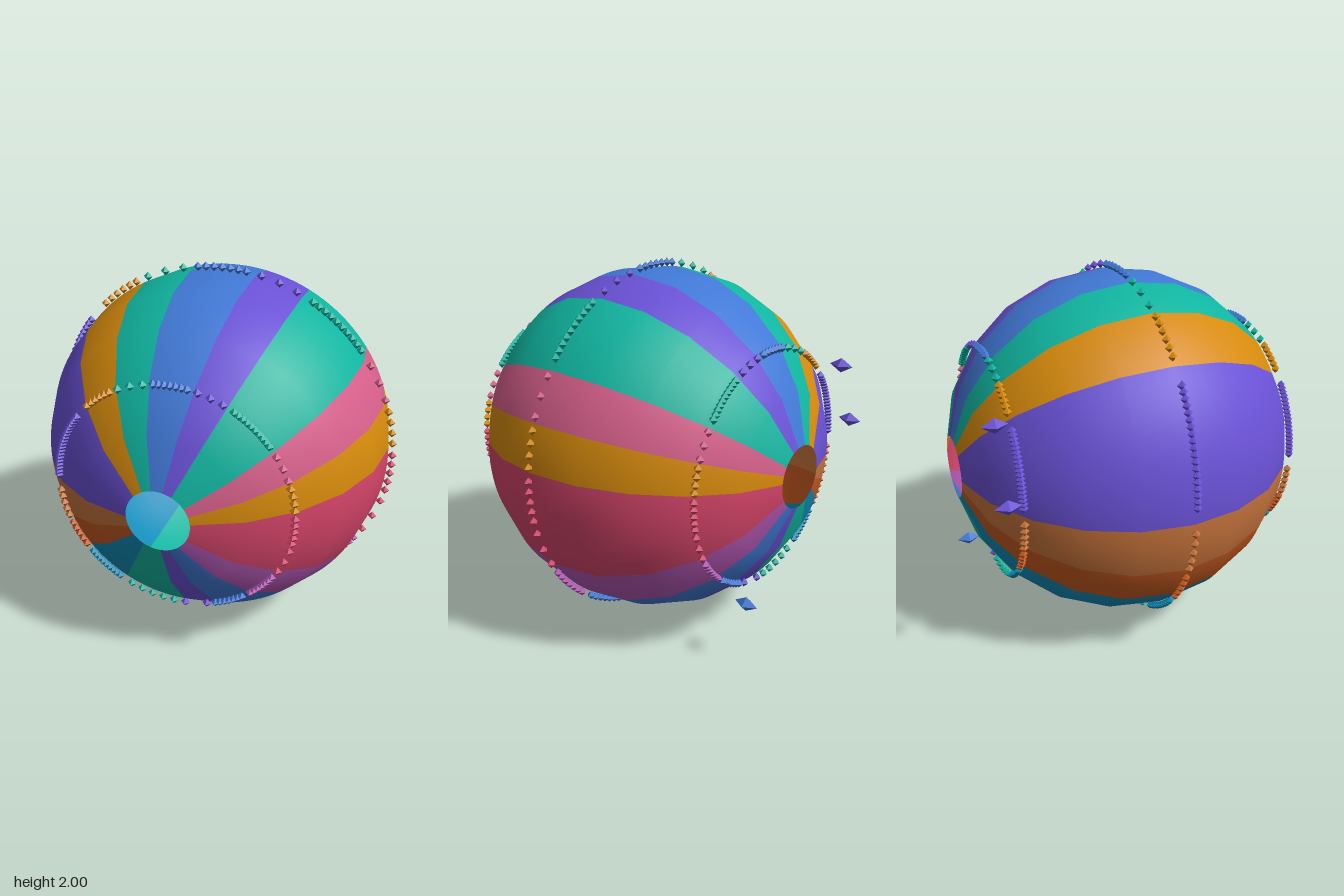
import * as THREE from 'three';

const RADIUS = 0.953, BEAD_RADIUS = 0.974;
const rad = THREE.MathUtils.degToRad;

function makeMaterials() {
  const colors = {
    purple: 0x6a51d6, gold: 0xd68a0c, teal: 0x10b5a0, blue: 0x4179d6, pink: 0xd65f8a,
    red: 0xd6456a, magenta: 0xb357b3, cyan: 0x0d8cb8, orange: 0xc75a20, copper: 0xc8743c,
  };
  const materials = {};
  for (const [name, color] of Object.entries(colors)) {
    materials[name] = new THREE.MeshStandardMaterial({ color, side: THREE.DoubleSide });
    materials[name].name = name;
  }
  return materials;
}

// Panels around the z axis: colour, start angle, end angle, beads per ring
const PANELS = [
  ['red', -13.5, 4.2, 5], ['gold', 4.2, 19, 4], ['pink', 19, 35.2, 3], ['teal', 35.2, 63, 10],
  ['purple', 63, 79, 3], ['blue', 79, 100, 7], ['teal', 100, 117, 3], ['gold', 117, 136, 6],
  ['purple', 136, 183.2, 19], ['copper', 183.2, 202, 5], ['orange', 202, 218.8, 5],
  ['cyan', 218.8, 242.7, 9], ['teal', 242.7, 273.2, 5], ['purple', 273.2, 288.4, 2],
  ['blue', 288.4, 308.5, 7], ['magenta', 308.5, 328.9, 7], ['red', 328.9, 346.5, 3],
];

// Large beads on the back: colour, angle
const MARKERS = [['purple', 140.5], ['purple', 172], ['blue', 294.4]];

// Point at a given angle around z and latitude towards +z
function onSphere(radius, angle, latitude) {
  const a = rad(angle), l = rad(latitude);
  return new THREE.Vector3(
    radius * Math.cos(l) * Math.cos(a), radius * Math.cos(l) * Math.sin(a), radius * Math.sin(l));
}

export function createModel() {
  const model = new THREE.Group();
  model.name = 'panelBall';
  const ball = new THREE.Group();
  ball.position.y = 1;
  model.add(ball);
  const materials = makeMaterials();

  // Meridian in ten straight steps, open at both poles
  const profile = [];
  for (let i = 0; i <= 10; i++) {
    const l = rad(-80 + 16 * i);
    profile.push(new THREE.Vector2(RADIUS * Math.cos(l), RADIUS * Math.sin(l)));
  }

  const beadGeometry = new THREE.OctahedronGeometry(0.025);
  for (const [color, start, end, count] of PANELS) {
    // Panel
    const width = end - start;
    const geometry = new THREE.LatheGeometry(
      profile, Math.ceil(width / 3), rad(start + 90), rad(width));
    geometry.rotateX(Math.PI / 2);
    const panel = new THREE.Mesh(geometry, materials[color]);
    panel.name = color + 'Panel';
    ball.add(panel);

    // Three rows of beads over the panel
    for (const latitude of [-50, 0, 50]) {
      for (let i = 0; i < count; i++) {
        const t = 0.13 + 0.74 * i / (count - 1);
        const bead = new THREE.Mesh(beadGeometry, materials[color]);
        bead.name = color + 'Bead';
        bead.position.copy(onSphere(BEAD_RADIUS, start + width * t, latitude));
        ball.add(bead);
      }
    }
  }

  // Large beads stretched along z
  const markerGeometry = new THREE.OctahedronGeometry(1).scale(0.04, 0.04, 0.067);
  for (const [color, angle] of MARKERS) {
    const marker = new THREE.Mesh(markerGeometry, materials[color]);
    marker.name = color + 'Marker';
    marker.position.copy(onSphere(1.095, angle, -50));
    ball.add(marker);
  }
  return model;
}
